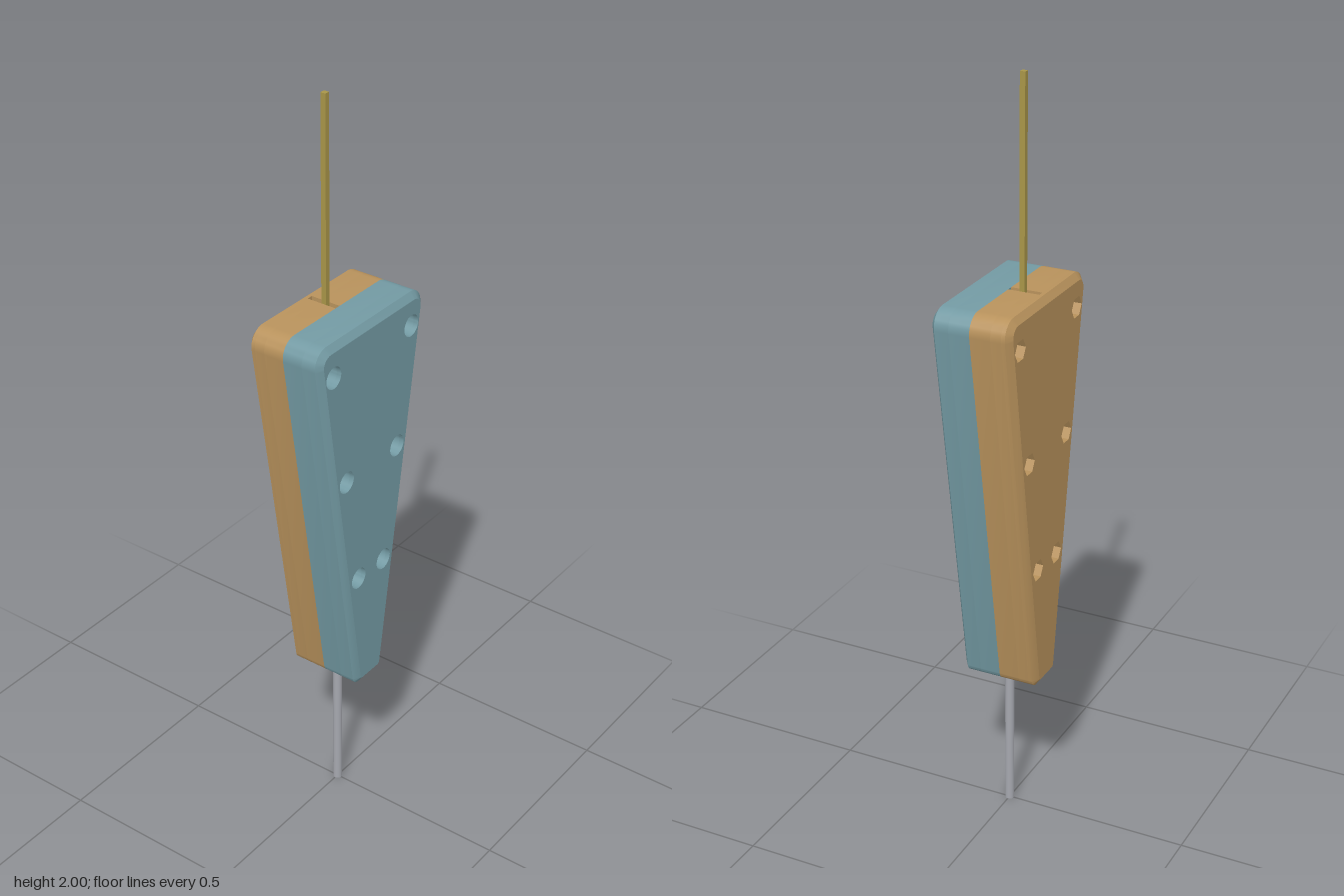
import * as THREE from 'three';
import { toCreasedNormals } from 'three/addons/utils/BufferGeometryUtils.js';

const material = (name, color) => new THREE.MeshStandardMaterial({ name, color });

// Corner circles of the tapered outline
const TOP = { x: 0.168, y: 1.42, r: 0.045 };
const BOTTOM = { x: 0.034, y: 0.424, r: 0.025 };
const HALF_DEPTH = 0.106, CHAMFER_START = 0.093, CHAMFER = 0.018;
const SLOT = { halfWidth: 0.008, floor: 1.1, depth: 0.083 };
const SCREWS = [[0.157, 1.38], [0.105, 1.063], [0.053, 0.747]]
  .flatMap(([x, y]) => [[x, y], [-x, y]]);

// Rounded, tapered outline, shrunk by inset, with an optional slot in its top edge
function outline(inset = 0, slotted = false) {
  const dx = TOP.x - BOTTOM.x, dy = TOP.y - BOTTOM.y;
  const tilt = Math.atan2(dx, dy) + Math.asin((TOP.r - BOTTOM.r) / Math.hypot(dx, dy));
  const right = [];
  const arc = (c, from, to) => {
    for (let i = 0; i <= 8; i++) {
      const a = from + (to - from) * i / 8, r = c.r - inset;
      right.push(new THREE.Vector2(c.x + r * Math.cos(a), c.y + r * Math.sin(a)));
    }
  };
  arc(BOTTOM, -Math.PI / 2, -tilt);
  arc(TOP, -tilt, Math.PI / 2);
  if (slotted) {
    right.push(new THREE.Vector2(SLOT.halfWidth, TOP.y + TOP.r));
    right.push(new THREE.Vector2(SLOT.halfWidth, SLOT.floor));
  }
  const left = right.map(p => new THREE.Vector2(-p.x, p.y)).reverse();
  return [...right, ...left];
}

// Slice of the case from z0 to z1, pierced by the screw holes
function slice(z0, z1, radius, sides, { slotted = false, chamfered = false } = {}) {
  const edge = outline(chamfered ? CHAMFER : 0, slotted);
  const shape = new THREE.Shape(edge);
  for (const [x, y] of SCREWS) {
    const points = [];
    for (let i = 0; i < sides; i++) {
      const a = -i / sides * Math.PI * 2;
      points.push(new THREE.Vector2(x + radius * Math.cos(a), y + radius * Math.sin(a)));
    }
    shape.holes.push(new THREE.Path(points));
  }
  const geometry = new THREE.ExtrudeGeometry(shape, { depth: z1 - z0, bevelEnabled: false });
  if (chamfered) {
    // Widen the inner rim to the full outline, leaving the holes straight
    const full = outline(), pos = geometry.attributes.position;
    for (let i = 0; i < pos.count; i++) {
      if (pos.getZ(i) > 1e-5) continue;
      const k = edge.findIndex(p => Math.hypot(p.x - pos.getX(i), p.y - pos.getY(i)) < 1e-5);
      if (k >= 0) pos.setXY(i, full[k].x, full[k].y);
    }
  }
  geometry.translate(0, 0, z0);
  return toCreasedNormals(geometry, 0.5);
}

export function createModel() {
  const model = new THREE.Group();
  model.name = 'wireProbe';
  const blue = material('blueShell', 0x739aa3);
  const tan = material('tanShell', 0xb8925c);
  const steel = material('steel', 0xa5a7ae);
  const brass = material('brass', 0xa89548);

  const add = (parent, name, geometry, mat) => {
    const mesh = new THREE.Mesh(geometry, mat);
    mesh.name = name;
    parent.add(mesh);
    return mesh;
  };

  // Front shell: narrow screw holes opening into round counterbores
  const front = new THREE.Group();
  front.name = 'frontShell';
  add(front, 'frontInner', slice(0, 0.055, 0.016, 24), blue);
  add(front, 'frontOuter', slice(0.055, CHAMFER_START, 0.029, 24), blue);
  add(front, 'frontChamfer', slice(CHAMFER_START, HALF_DEPTH, 0.029, 24, { chamfered: true }), blue);

  // Back shell: hexagonal nut pockets and a slot for the wire
  const back = new THREE.Group();
  back.name = 'backShell';
  add(back, 'backInner', slice(0, 0.055, 0.016, 24, { slotted: true }), tan);
  add(back, 'backMiddle', slice(0.055, SLOT.depth, 0.029, 6, { slotted: true }), tan);
  add(back, 'backOuter', slice(SLOT.depth, CHAMFER_START, 0.029, 6), tan);
  add(back, 'backChamfer', slice(CHAMFER_START, HALF_DEPTH, 0.029, 6, { chamfered: true }), tan);
  back.rotation.y = Math.PI;
  model.add(front, back);

  // Round steel rod below, running up inside the case
  const rodTop = SLOT.floor + 0.02;
  add(model, 'rod', new THREE.CylinderGeometry(0.012, 0.012, rodTop, 24), steel)
    .position.y = rodTop / 2;

  // Square brass wire rising from the slot
  const wireLength = 2 - SLOT.floor;
  add(model, 'wire', new THREE.BoxGeometry(0.014, wireLength, 0.014), brass)
    .position.set(0, SLOT.floor + wireLength / 2, -0.036);

  return model;
}
